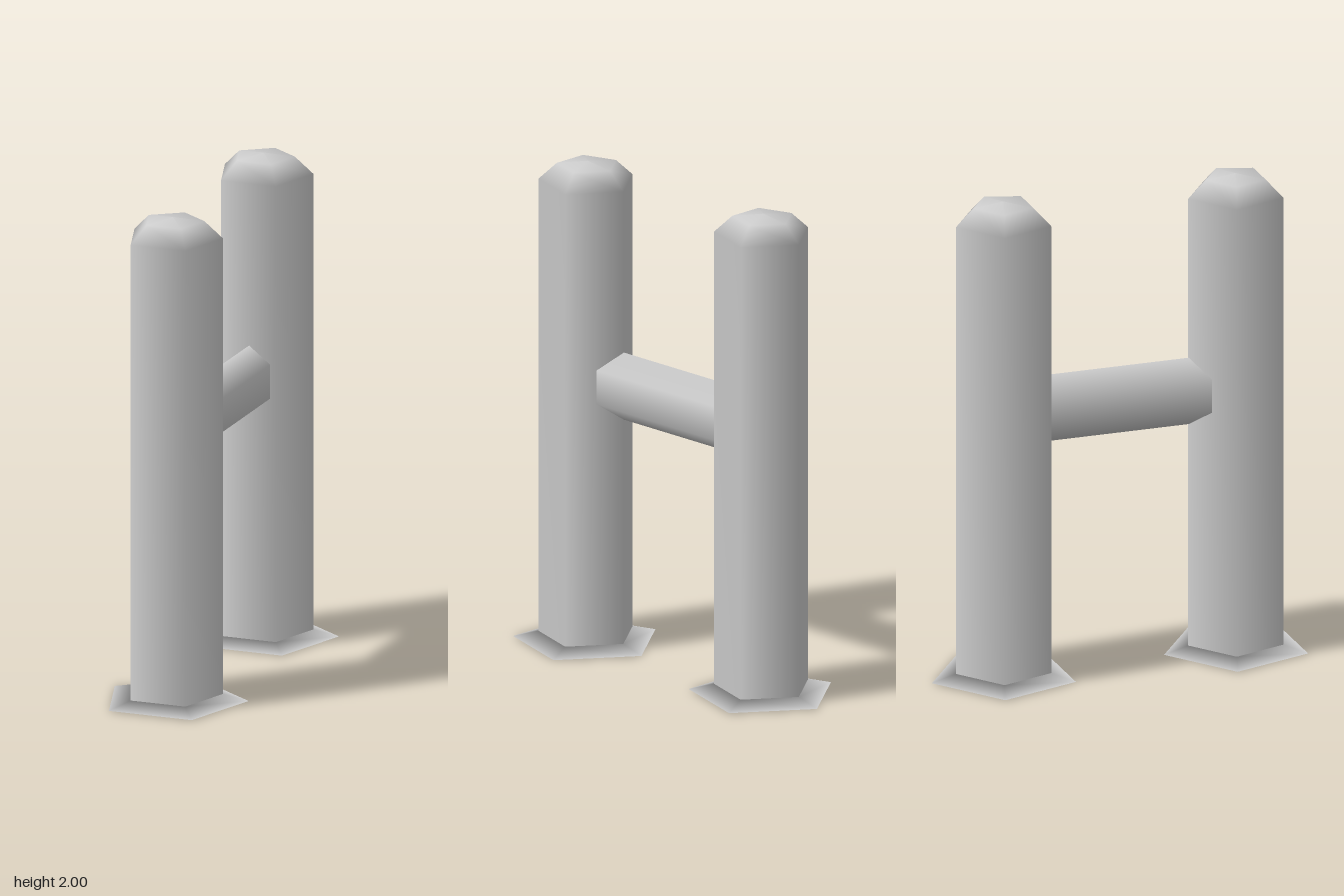
import * as THREE from 'three';

export function createModel() {
  const group = new THREE.Group();
  const grey = new THREE.MeshStandardMaterial({ color: 0xcccccc });
  grey.name = 'grey';

  // Five-sided post profile: underside, flared foot, shaft, domed cap
  const profile = [
    [0, 0], [0.301, 0.003], [0.199, 0.03], [0.199, 1.915], [0.125, 1.985], [0, 2],
  ].map(([r, y]) => new THREE.Vector2(r, y));
  const postGeometry = new THREE.LatheGeometry(profile, 5, Math.PI);

  // Both posts point a corner towards the back
  const addPost = (name, x, z) => {
    const post = new THREE.Mesh(postGeometry, grey);
    post.name = name;
    post.position.set(x, 0, z);
    group.add(post);
  };
  addPost('frontPost', 0.002, 0.519);
  addPost('backPost', -0.003, -0.462);

  // Narrow hexagonal bar, its ends sunk into the posts
  const barGeometry = new THREE.CylinderGeometry(0.14, 0.14, 0.8, 6);
  barGeometry.rotateX(Math.PI / 2);
  barGeometry.scale(0.74, 1, 1);
  const bar = new THREE.Mesh(barGeometry, grey);
  bar.name = 'crossbar';
  bar.position.set(0, 1.105, 0.05);
  group.add(bar);

  return group;
}
